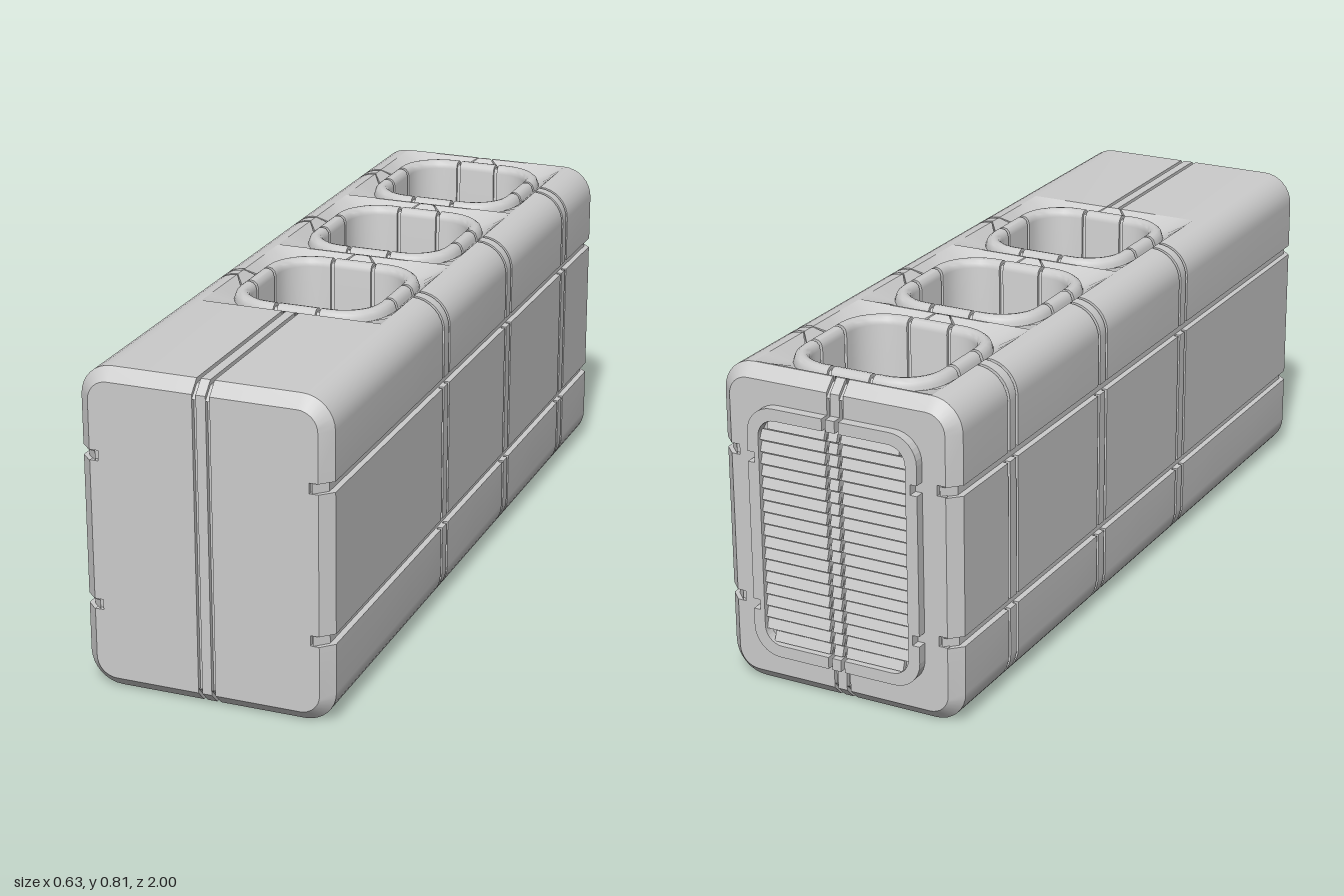
import * as THREE from 'three';
import { toCreasedNormals } from 'three/addons/utils/BufferGeometryUtils.js';

const W = 0.315, H = 0.81, R = 0.08, FLAT = W - R; // body half width, height, edge radius
const BANDS = [0.217, 0.595], BAND = 0.013;        // horizontal grooves
const HOLES = [0.245, -0.23, -0.705];              // z of the openings
const FRONT = 1, BACK = -0.975, BEVEL = 0.03, DEPTH = 0.012;

const material = new THREE.MeshStandardMaterial({ color: 0xcccccc, side: THREE.DoubleSide });

function add(parent, geometry, name) {
  const mesh = new THREE.Mesh(geometry, material);
  mesh.name = name;
  parent.add(mesh);
  return mesh;
}

// Skin between closed rows of points; skip(i, j) leaves quads open
function loft(rows, skip = () => false) {
  const n = rows[0].length, index = [];
  for (let i = 0; i < rows.length - 1; i++) {
    for (let j = 0; j < n; j++) {
      if (skip(i, j)) continue;
      const a = i * n + j, b = i * n + (j + 1) % n, d = a + n, c = b + n;
      index.push(a, d, c, a, c, b);
    }
  }
  const g = new THREE.BufferGeometry();
  g.setAttribute('position', new THREE.Float32BufferAttribute(rows.flat(2), 3));
  g.setIndex(index);
  return toCreasedNormals(g, 0.6);
}

// Body outline: anchor, outward normal, radius and groove depth for each point
function bodyOutline() {
  const pts = [];
  const put = (x, y, nx, ny, notch = 0) => pts.push({ x, y, nx, ny, notch });
  const arc = (x, y, start) => {
    for (let k = 1; k < 8; k++) {
      const t = start + (k / 8) * Math.PI / 2;
      put(x, y, Math.cos(t), Math.sin(t));
    }
  };
  const straight = (s, cuts, f) => {
    f(s, 0);
    for (const [p, q] of cuts) { f(p, 0); f(p, 1); f(q, 1); f(q, 0); }
  };
  const bands = BANDS.map(y => [y - BAND, y + BAND]);
  const seams = [[-0.022, -0.012], [0.012, 0.022]];
  const side = s => (y, on) => put(s * FLAT, s > 0 ? y : H - y, s, 0, on * 0.015);
  const level = s => (x, on) => put(-s * x, s > 0 ? H - R : R, 0, s, on * DEPTH);
  straight(R, bands, side(1)); side(1)(H - R, 0);
  arc(FLAT, H - R, 0);
  const topStart = pts.length;
  straight(-FLAT, seams, level(1)); level(1)(FLAT, 0);
  const topEnd = pts.length - 1;
  arc(-FLAT, H - R, Math.PI / 2);
  straight(R, bands, side(-1)); side(-1)(H - R, 0);
  arc(-FLAT, R, Math.PI);
  straight(-FLAT, seams, level(-1)); level(-1)(FLAT, 0);
  arc(FLAT, R, Math.PI * 1.5);
  return { pts, topStart, topEnd };
}

function bodyGeometry() {
  const { pts, topStart, topEnd } = bodyOutline();
  // stations: z, bevel inset, ring groove depth
  const stations = [[FRONT, BEVEL, 0], [FRONT - BEVEL, 0, 0]];
  for (const z of HOLES) {
    stations.push([z + FLAT, 0, 0]);
    for (const s of [0.02, -0.02]) {
      stations.push([z + s + 0.005, 0, 0], [z + s + 0.005, 0, DEPTH],
        [z + s - 0.005, 0, DEPTH], [z + s - 0.005, 0, 0]);
    }
    stations.push([z - FLAT, 0, 0]);
  }
  stations.push([BACK + BEVEL, 0, 0], [BACK, BEVEL, 0]);
  const rows = stations.map(([z, bevel, ring]) => pts.map(p => {
    const r = R - bevel - Math.max(ring, p.notch);
    return [p.x + p.nx * r, p.y + p.ny * r, z];
  }));
  return loft(rows, (i, j) => {
    const mid = (stations[i][0] + stations[i + 1][0]) / 2;
    return j >= topStart && j < topEnd && HOLES.some(z => Math.abs(mid - z) < FLAT);
  });
}

// Sunken square, rolled rim, wall and floor of one opening, with radial grooves
function openingGeometry() {
  const S = 0.08; // half length of the straight rim sides
  const along = [[-S, 0], [-0.06, 0], [-0.06, 1], [-0.05, 1], [-0.05, 0],
    [0.05, 0], [0.05, 1], [0.06, 1], [0.06, 0], [S, 0]];
  // half size, y, groove shift in half size, groove shift in y
  const profile = [[0.235, H, 0, -0.01], [0.206, 0.785, 0, -0.01], [0.204, 0.793, -0.008, 0],
    [0.2, 0.803, -0.007, -0.005], [0.192, 0.809, -0.003, -0.008], [0.184, H, 0, -0.009],
    [0.175, 0.808, 0.003, -0.008], [0.168, 0.801, 0.007, -0.005], [0.165, 0.79, 0.008, 0],
    [0.165, 0.5, 0.008, 0], [0.16, 0.475, 0, 0], [0.145, 0.462, 0, 0], [0.13, 0.46, 0, 0]];
  const ring = ([a, y, da, dy], row) => {
    const out = [];
    const put = (side, u, v, groove) => {
      const c = [1, 0, -1, 0][side], s = [0, 1, 0, -1][side];
      out.push([u * c - v * s, y + groove * dy, u * s + v * c]);
    };
    for (let side = 0; side < 4; side++) {
      for (const [t, g] of along) {
        const v = row ? t : t * (Math.abs(t) < 0.07 ? 0.36 : a / 0.2);
        put(side, a + g * da, v, g);
      }
      for (let k = 1; k < 8; k++) {
        const t = k / 8 * Math.PI / 2, r = (row ? a : 0.2) - S;
        let u = S + r * Math.cos(t), v = S + r * Math.sin(t);
        if (!row) { const m = a / Math.max(u, v); u *= m; v *= m; }
        put(side, u, v, 0);
      }
    }
    return out;
  };
  const rows = profile.map(ring);
  rows.push(rows[0].map(() => [0, 0.46, 0]));
  return loft(rows);
}

// Right half of a rounded rectangle, bottom to top, with band notches
function halfOutline(w, y0, y1, r, notch) {
  const pts = [[0.022, y0]];
  const arc = (cy, start) => {
    for (let k = 0; k <= 8; k++) {
      const t = start + k / 8 * Math.PI / 2;
      pts.push([w - r + r * Math.cos(t), cy + r * Math.sin(t)]);
    }
  };
  arc(y0 + r, -Math.PI / 2);
  if (notch) for (const y of BANDS) {
    pts.push([w, y - BAND], [w - notch, y - BAND], [w - notch, y + BAND], [w, y + BAND]);
  }
  arc(y1 - r, 0);
  pts.push([0.022, y1]);
  return pts;
}

function slab(points, mirror, depth) {
  const shape = new THREE.Shape(points.map(([x, y]) => new THREE.Vector2(mirror * x, y)));
  return new THREE.ExtrudeGeometry(shape, { depth, bevelEnabled: false });
}

// End face: two notched panels and a centre strip over a sunken backing
function endFace(name) {
  const group = new THREE.Group();
  group.name = name;
  add(group, new THREE.PlaneGeometry(0.556, H - 0.074), 'backing').position.set(0, H / 2, -DEPTH);
  for (const m of [1, -1]) {
    const outline = halfOutline(W - BEVEL, BEVEL, H - BEVEL, R - BEVEL, 0.022);
    add(group, slab(outline, m, DEPTH), 'endPanel').position.z = -DEPTH;
  }
  add(group, new THREE.BoxGeometry(0.024, H - 2 * BEVEL, DEPTH), 'centreStrip')
    .position.set(0, H / 2, -DEPTH / 2);
  return group;
}

// Raised frame with sloping slats
function vent() {
  const group = new THREE.Group();
  group.name = 'vent';
  const y0 = 0.09, y1 = 0.725, t = 0.03, depth = 0.025;
  const outline = [...halfOutline(0.225, y0, y1, 0.07, 0.018),
    ...halfOutline(0.225 - t, y0 + t, y1 - t, 0.045, 0).reverse()];
  for (const m of [1, -1]) add(group, slab(outline, m, depth), 'ventFrame');
  for (const y of [y0 + t / 2, y1 - t / 2]) {
    add(group, new THREE.BoxGeometry(0.024, t, depth), 'ventFrameBridge').position.set(0, y, depth / 2);
  }
  const count = 19, pitch = (y1 - y0 - 2 * t) / count;
  for (let i = 0; i < count; i++) {
    const y = y0 + t + (i + 0.5) * pitch;
    const end = i === 0 || i === count - 1 ? 0.175 : 0.195;
    for (const [a, b] of [[-end, -0.022], [-0.012, 0.012], [0.022, end]]) {
      const slat = add(group, new THREE.BoxGeometry(b - a, pitch * 0.85, 0.012), 'slat');
      slat.position.set((a + b) / 2, y, 0.007);
      slat.rotation.x = -0.35;
    }
  }
  return group;
}

export function createModel() {
  const model = new THREE.Group();
  model.name = 'groovedBlock';
  add(model, bodyGeometry(), 'body');
  const opening = openingGeometry();
  for (const z of HOLES) add(model, opening, 'opening').position.z = z;

  const front = endFace('frontFace');
  front.position.z = FRONT;
  const back = endFace('backFace');
  back.add(vent());
  back.position.z = BACK;
  back.rotation.y = Math.PI;
  model.add(front, back);
  return model;
}
